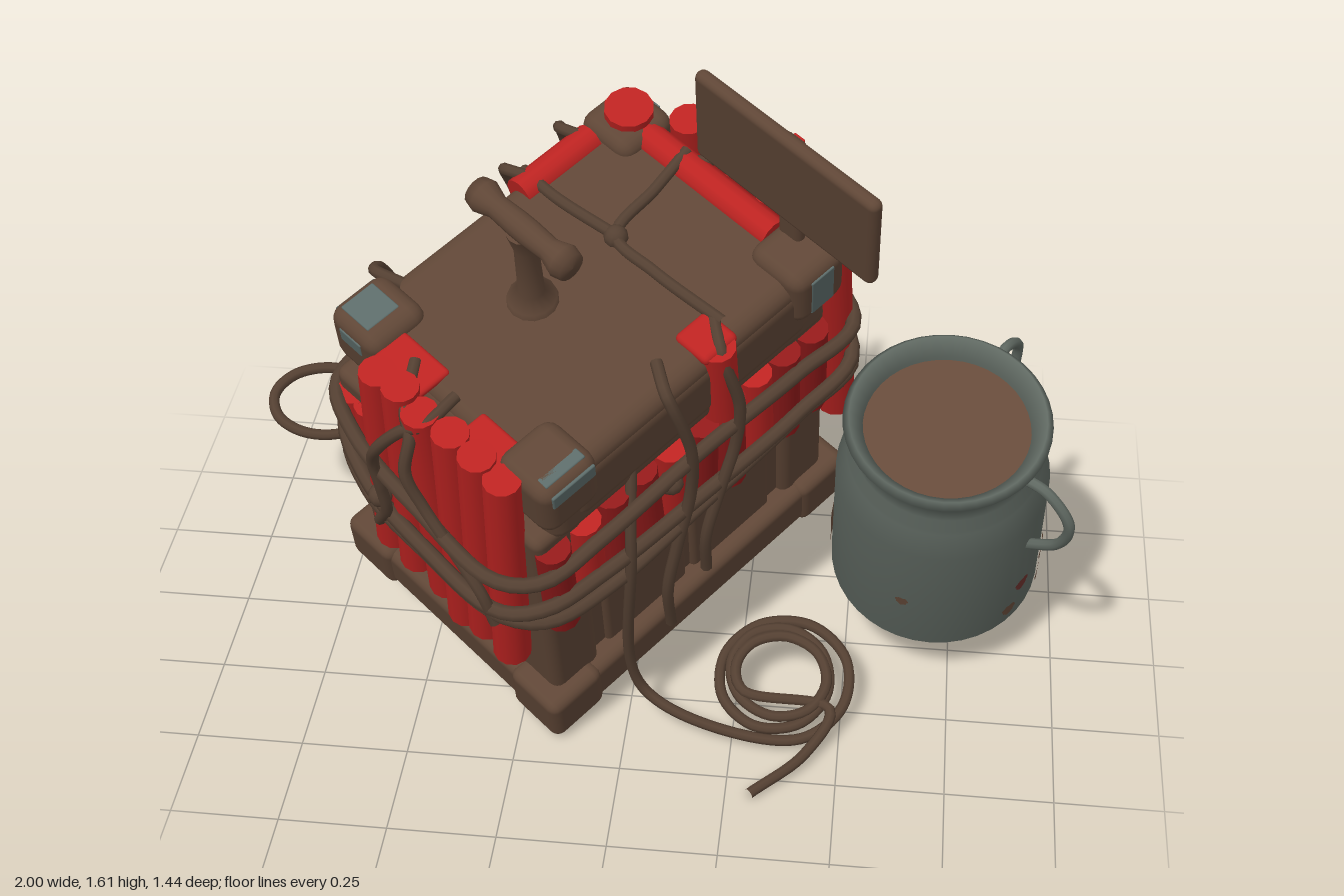
import * as THREE from 'three';
import { RoundedBoxGeometry } from 'three/addons/geometries/RoundedBoxGeometry.js';

const mat = (name, color, side = THREE.FrontSide) => {
  const m = new THREE.MeshStandardMaterial({ color, side });
  m.name = name;
  return m;
};

export function createModel() {
  const wood = mat('wood', 0x5f4636), rope = mat('rope', 0x544032), red = mat('red', 0xbc2321);
  const darkRed = mat('dark red', 0x921a1a), metal = mat('metal', 0x606962, THREE.DoubleSide);
  const teal = mat('worn teal', 0x5c6c6a), rust = mat('rust', 0x664b3a, THREE.DoubleSide);
  const stain = mat('red stain', 0x6e322e, THREE.DoubleSide);

  let seed = 7;
  const rnd = a => { seed = (seed * 16807) % 2147483647; return (seed / 2147483647 - 0.5) * 2 * a; };
  const add = (parent, name, geo, m, x = 0, y = 0, z = 0) => {
    const mesh = new THREE.Mesh(geo, m);
    mesh.name = name;
    mesh.position.set(x, y, z);
    parent.add(mesh);
    return mesh;
  };
  const box = (parent, name, m, w, h, d, x, y, z, r = 0.025) =>
    add(parent, name, new RoundedBoxGeometry(w, h, d, 2, Math.min(r, w / 2.1, h / 2.1, d / 2.1)), m, x, y, z);
  const tube = (parent, name, m, pts, r, closed = false) => {
    const c = new THREE.CatmullRomCurve3(pts.map(p => new THREE.Vector3(...p)), closed, 'centripetal');
    return add(parent, name, new THREE.TubeGeometry(c, pts.length * 8, r, 8, closed), m);
  };
  const lathe = (profile, n) => new THREE.LatheGeometry(profile.map(p => new THREE.Vector2(...p)), n);

  const model = new THREE.Group();
  model.name = 'rigged crate and can';
  // everything but the side loop leans forward together
  const tilt = new THREE.Group();
  tilt.name = 'leaningAssembly';
  tilt.position.set(-0.125, 0.235, -0.15);
  tilt.rotation.x = 0.37;
  model.add(tilt);
  const crate = new THREE.Group();
  crate.name = 'crate';
  crate.rotation.y = -0.695;
  tilt.add(crate);
  const lid = new THREE.Group();
  lid.name = 'lid';
  lid.position.set(0.02, 0, -0.02);
  crate.add(lid);

  // crate: body, stiles, base frame, lid bars and corner caps
  box(crate, 'body', wood, 0.62, 0.74, 0.85, 0, 0.42, 0);
  for (const s of [-1, 1]) {
    for (const t of [-1, 1]) {
      box(crate, 'cornerPost', wood, 0.14, 0.72, 0.14, s * 0.263, 0.43, t * 0.375);
      box(crate, 'baseCorner', wood, 0.16, 0.145, 0.16, s * 0.293, 0.069, t * 0.413);
      box(crate, 'sidePlank', wood, 0.03, 0.7, 0.26, s * 0.308, 0.43, t * 0.14);
      box(lid, 'lidCorner', wood, 0.16, 0.16, 0.16, s * 0.267, 0.93, t * 0.372, 0.035);
    }
    box(crate, 'endPlank', wood, 0.34, 0.7, 0.03, 0, 0.43, s * 0.42);
    box(crate, 'baseRail', wood, 0.13, 0.128, 0.94, s * 0.3, 0.07, 0);
    box(crate, 'baseEndRail', wood, 0.7, 0.128, 0.15, 0, 0.07, s * 0.408);
    box(lid, 'lidSideBar', wood, 0.1, 0.19, 0.74, s * 0.28, 0.87, 0, 0.045);
    box(lid, 'lidEndBar', wood, 0.54, 0.19, 0.1, 0, 0.87, s * 0.38, 0.045);
  }
  box(lid, 'lidSlab', wood, 0.65, 0.23, 0.84, 0, 0.865, 0, 0.04);
  for (let i = 0; i < 4; i++) box(crate, 'bottomSlat', wood, 0.46, 0.04, 0.14, 0, 0.038, -0.25 + i * 0.167);

  // worn paint on the lid corners
  box(lid, 'wornTop', teal, 0.09, 0.008, 0.09, -0.28, 1.008, 0.38);
  box(lid, 'wornTop', teal, 0.03, 0.008, 0.11, 0.31, 1.006, 0.37);
  box(lid, 'wornSide', teal, 0.008, 0.04, 0.12, 0.345, 0.975, 0.37);
  box(lid, 'wornSide', teal, 0.008, 0.11, 0.07, 0.345, 0.93, -0.37);
  box(lid, 'wornSide', teal, 0.008, 0.04, 0.11, -0.345, 0.965, 0.37);
  box(lid, 'wornEnd', teal, 0.07, 0.04, 0.008, -0.27, 0.96, 0.45);
  box(lid, 'wornEnd', teal, 0.06, 0.04, 0.008, -0.27, 0.97, -0.45);

  // plunger: post and knobbed bar
  add(crate, 'plungerPost', lathe([[0.06, 0], [0.055, 0.025], [0.03, 0.05], [0.027, 0.2], [0.04, 0.26]], 14),
    wood, -0.04, 0.97, 0.09);
  const half = [[0.03, 0.02], [0.027, 0.08], [0.04, 0.12], [0.034, 0.145], [0, 0.15]];
  const bar = [...half.map(([r, y]) => [r, -y]).reverse(), ...half];
  add(crate, 'plungerBar', lathe(bar, 14), wood, -0.04, 1.235, 0.09).rotation.z = -Math.PI / 2;

  // sign on a post
  box(crate, 'signBoard', wood, 0.52, 0.27, 0.035, 0.26, 1.24, -0.385);
  box(crate, 'signPost', wood, 0.065, 0.42, 0.03, 0.25, 1.12, -0.415);
  box(crate, 'signPaint', red, 0.03, 0.1, 0.006, 0.25, 1.27, -0.433);

  // red sticks
  const stick = (x, z, top, bottom, r = 0.043, lean = 0, m = red) => {
    const s = add(crate, 'stick', new THREE.CylinderGeometry(r * 0.95, r, top - bottom, 12), m, x, (top + bottom) / 2, z);
    s.rotation.set(lean + rnd(0.02), 0, rnd(0.04));
  };
  for (let i = 0; i < 6; i++) {
    stick(-0.14 + i * 0.079, 0.472, 1.01 + rnd(0.015), 0.31 + rnd(0.04), 0.044, -0.05);   // front row
    stick(-0.13 + i * 0.088, -0.492, 1 + rnd(0.02), 0.36 - i * 0.008 + rnd(0.02), 0.047, 0.04); // back row
    stick(-0.318, -0.2 + i * 0.08 + (i >> 1) * 0.08, 0.74, 0.48 + rnd(0.03)); // pairs on the far side
  }
  for (let i = 0; i < 3; i++) {
    stick(-0.05 + i * 0.12, -0.525, 0.88 + rnd(0.06), 0.42 + rnd(0.04));
    stick(-0.28 + i * 0.05, 0.43, 0.74, 0.46 + rnd(0.05));
  }
  for (let i = 0; i < 10; i++)
    stick(0.328, 0.4 - i * 0.088, 0.75, 0.46 + rnd(0.03), 0.044, 0, i % 3 === 1 ? red : darkRed);
  stick(-0.25, -0.4, 1.03, 0.8, 0.06);
  stick(0.335, -0.1, 0.985, 0.72, 0.045);
  const lying = new THREE.CylinderGeometry(0.04, 0.04, 0.22, 12);
  for (const x of [-0.12, 0.1]) add(crate, 'lidStick', lying, red, x, 0.97, -0.4).rotation.z = Math.PI / 2;
  add(crate, 'lidStick', lying, red, -0.28, 0.965, -0.2).rotation.x = Math.PI / 2;
  // paint spilt over the lid edges
  box(crate, 'lidDrip', red, 0.1, 0.03, 0.1, 0.3, 0.978, -0.1);
  box(crate, 'lidDrip', red, 0.15, 0.02, 0.12, -0.1, 0.978, 0.4);
  box(crate, 'lidDrip', red, 0.14, 0.02, 0.1, 0.17, 0.978, 0.41);

  // ropes wound tightly round the crate, bulging over the stick rows
  const ring = [[-0.345, 0.43], [-0.19, 0.51], [0.05, 0.535], [0.28, 0.53], [0.36, 0.46], [0.383, 0.3], [0.383, 0],
    [0.383, -0.3], [0.365, -0.5], [0.1, -0.565], [-0.16, -0.545], [-0.33, -0.46], [-0.37, -0.2], [-0.37, 0.2]];
  for (const [h, phase] of [[0.72, 0], [0.57, 2], [0.53, 4]])
    tube(crate, 'wrapRope', rope, ring.map(([x, z], i) => [x, h + 0.02 * Math.sin(i * 1.35 + phase), z]), 0.018, true);

  // ropes hanging down one face: axis, side, start, end, lowest height
  const hang = (axis, side, u0, u1, low) => {
    const edge = axis === 'x' ? 0.36 : 0.5;
    const out = axis === 'x' ? (side > 0 ? 0.392 : 0.375) : (side > 0 ? 0.54 : 0.565);
    const pts = [];
    for (let i = 0; i < 8; i++) {
      const k = i / 7, u = u0 + (u1 - u0) * k + 0.03 * Math.sin(k * 9);
      const d = i < 2 ? edge * (0.75 + i * 0.2) : i < 3 ? edge : out;
      const y = i < 2 ? 0.985 : 0.96 - (0.96 - low) * (i - 2) / 5;
      pts.push(axis === 'x' ? [side * d, y, u] : [u, y, side * d]);
    }
    tube(crate, 'hangingRope', rope, pts, 0.014);
  };
  hang('z', 1, -0.1, 0.26, 0.52);
  hang('z', 1, 0.03, -0.13, 0.5);
  hang('x', 1, -0.15, 0, 0.25);
  hang('x', 1, 0.02, 0.12, 0.14);
  hang('z', -1, -0.08, 0.24, 0.42);
  hang('z', -1, 0.28, -0.12, 0.45);
  hang('x', -1, -0.14, -0.12, 0.35);
  hang('x', -1, 0.26, 0.2, 0.35);
  hang('x', -1, -0.3, -0.32, 0.1);
  tube(crate, 'lidRope', rope, [[0.3, 0.99, -0.15], [0.1, 0.99, -0.14], [-0.03, 0.99, -0.15], [-0.06, 0.99, -0.3], [-0.08, 1, -0.42]], 0.014);
  tube(crate, 'lidRope', rope, [[-0.03, 0.99, -0.15], [-0.2, 0.99, -0.13], [-0.32, 0.975, -0.14]], 0.014);
  tube(crate, 'ropeEnd', rope, [[-0.05, 0.75, -0.56], [-0.11, 0.79, -0.65]], 0.014);
  const knot = new THREE.SphereGeometry(0.028, 10, 8);
  add(crate, 'knot', knot, rope, -0.03, 0.985, -0.15);
  add(crate, 'knot', knot, rope, -0.1, 0.62, 0.535);
  add(crate, 'knot', knot, rope, 0.385, 0.72, 0.1);
  add(crate, 'knot', knot, rope, 0.1, 0.72, -0.565);

  // rope running down the side into a coil on the ground
  const coil = [[0.15, 0.95, 0.26], [0.15, 0.6, 0.43], [0.16, 0.06, 0.49], [0.3, 0.02, 0.55]];
  for (let i = 0; i <= 22; i++) {
    const a = 1.2 - i * 0.8, r = 0.165 - i * 0.0035;
    coil.push([0.475 + 0.012 * Math.sin(i * 0.5) + r * Math.cos(a), 0.02 + i * 0.0015, 0.42 + r * Math.sin(a)]);
  }
  coil.push([0.6, 0.04, 0.5], [0.55, 0.04, 0.62], [0.43, 0.06, 0.74]);
  tube(tilt, 'coiledRope', rope, coil, 0.013);

  // looped fuse beside the crate
  const fuse = [[-0.45, 0.46, -0.04], [-0.57, 0.37, -0.15], [-0.67, 0.33, -0.22]];
  for (let i = 0; i <= 8; i++) {
    const a = -0.3 - i * 0.68;
    fuse.push([-0.85 + 0.135 * Math.cos(a), 0.385 - 0.04 * Math.sin(a), -0.35 + 0.09 * Math.sin(a)]);
  }
  fuse.push([-0.69, 0.4, -0.4]);
  tube(model, 'fuseLoop', rope, fuse, 0.014);

  // can: lathe shell, contents, handles and patches
  const can = new THREE.Group();
  can.name = 'can';
  can.position.set(0.825, 0.005, 0.05);
  tilt.add(can);
  add(can, 'canShell', lathe([[0, 0.015], [0.21, 0.015], [0.22, 0], [0.248, 0.02], [0.246, 0.41], [0.222, 0.48],
    [0.224, 0.5], [0.212, 0.53], [0.21, 0.57], [0.236, 0.61], [0.222, 0.625], [0.19, 0.59], [0.19, 0.5]], 40), metal);
  add(can, 'canContents', new THREE.CircleGeometry(0.192, 32), rust, 0, 0.575, 0).rotation.x = -Math.PI / 2;
  const loop = [[0.2, 0.57], [0.27, 0.57], [0.335, 0.5], [0.32, 0.4], [0.235, 0.31]];
  for (const a of [1.0, 2.65])
    tube(can, 'canHandle', metal, loop.map(([r, h]) => [r * Math.sin(a), h, r * Math.cos(a)]), 0.013);

  // ragged patches, bent round the can wall or flat underneath
  const ragged = w => {
    const g = new THREE.CircleGeometry(w, 36), p = g.attributes.position;
    for (let i = 1; i < p.count; i++) {
      const a = (i - 1) / 36 * Math.PI * 2, k = 1 + 0.1 * Math.sin(3 * a) + 0.08 * Math.sin(7 * a + 1);
      p.setXY(i, p.getX(i) * k, p.getY(i) * k);
    }
    return g;
  };
  add(can, 'canBottomStain', ragged(0.14), stain, 0, 0.01, 0).rotation.x = Math.PI / 2;
  const patch = (angle, h, w, m = rust) => {
    const g = ragged(w), p = g.attributes.position;
    for (let i = 0; i < p.count; i++) {
      const t = angle + p.getX(i) / 0.25;
      p.setXYZ(i, Math.sin(t) * 0.252, h + p.getY(i), Math.cos(t) * 0.252);
    }
    g.computeVertexNormals();
    add(can, 'canPatch', g, m);
  };
  patch(-0.3, 0.2, 0.015);
  patch(0.95, 0.16, 0.022, stain);
  patch(1.45, 0.135, 0.032);
  patch(1.4, 0.04, 0.024);
  patch(2.6, 0.17, 0.06);
  patch(-2.4, 0.15, 0.085);
  patch(3.1, 0.32, 0.07);
  patch(-1.7, 0.1, 0.06);
  patch(0.8, 0.08, 0.02);

  return model;
}
